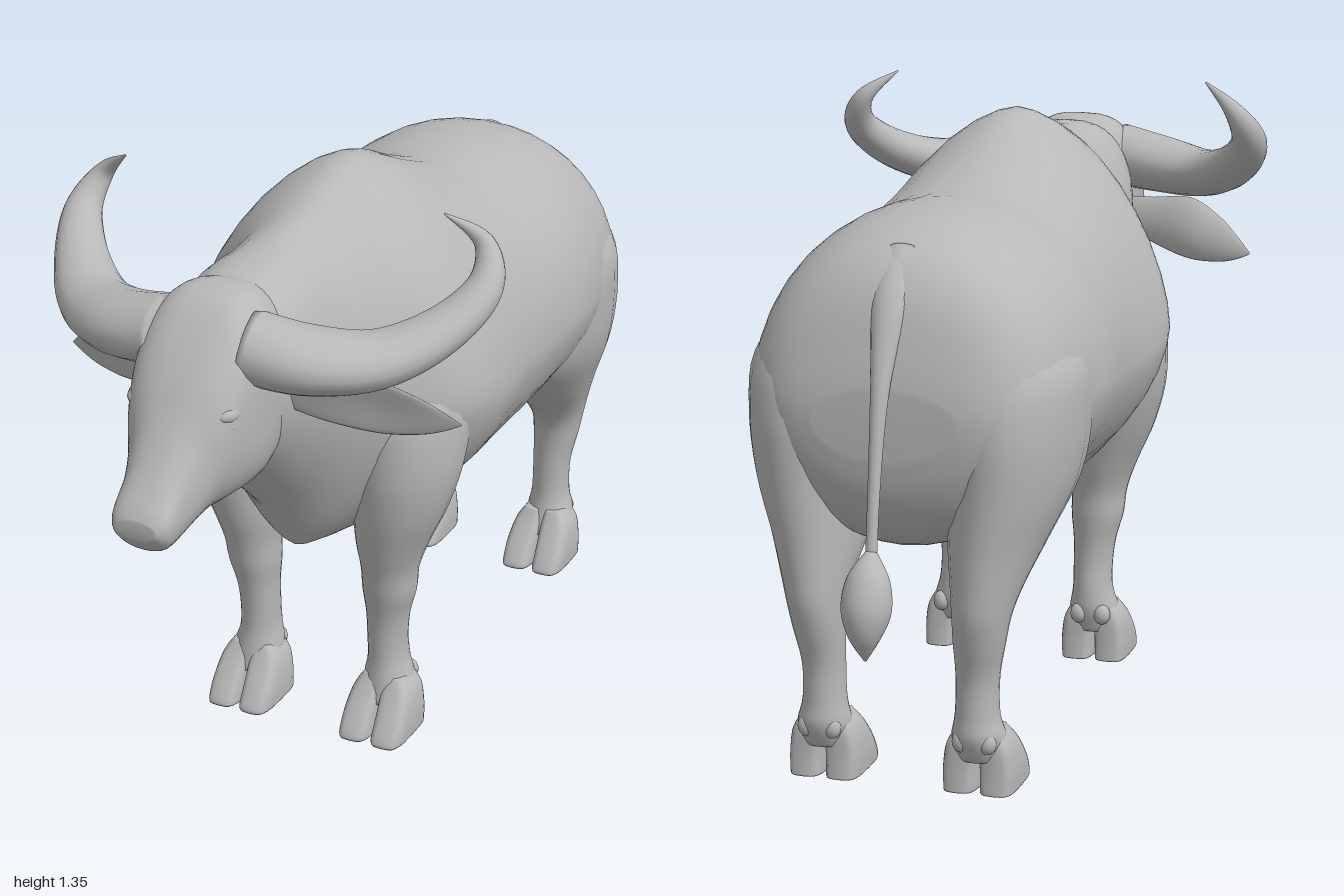
import * as THREE from 'three';

const hide = new THREE.MeshStandardMaterial({ color: 0xb8b8b8 });
hide.name = 'grey hide';

// Catmull-Rom smoothing of a short table of numeric rows
function smooth(rows, steps = 4) {
  const out = [];
  for (let i = 0; i < rows.length - 1; i++) {
    const a = rows[Math.max(i - 1, 0)], b = rows[i], c = rows[i + 1], d = rows[Math.min(i + 2, rows.length - 1)];
    for (let s = 0; s < steps; s++) {
      const t = s / steps;
      out.push(b.map((_, k) => b[k] + 0.5 * t * (c[k] - a[k]
        + t * (2 * a[k] - 5 * b[k] + 4 * c[k] - d[k] + t * (3 * (b[k] - c[k]) + d[k] - a[k])))));
    }
  }
  out.push(rows[rows.length - 1]);
  return out;
}

// Closed skin over rings of points, always facing outward
function loft(name, rings) {
  const n = rings[0].length, pos = [], idx = [];
  rings.forEach(r => r.forEach(p => pos.push(p.x, p.y, p.z)));
  for (let i = 0; i < rings.length - 1; i++) {
    for (let j = 0; j < n; j++) {
      const a = i * n + j, b = i * n + (j + 1) % n;
      idx.push(a, b, a + n, b, b + n, a + n);
    }
  }
  [0, rings.length - 1].forEach((r, end) => {
    const mid = new THREE.Vector3();
    rings[r].forEach(p => mid.addScaledVector(p, 1 / n));
    const c = pos.length / 3;
    pos.push(mid.x, mid.y, mid.z);
    for (let j = 0; j < n; j++) {
      const a = r * n + j, b = r * n + (j + 1) % n;
      if (end) idx.push(a, b, c); else idx.push(b, a, c);
    }
  });
  const at = i => new THREE.Vector3().fromArray(pos, i * 3);
  let volume = 0;
  for (let i = 0; i < idx.length; i += 3) volume += at(idx[i]).dot(at(idx[i + 1]).cross(at(idx[i + 2])));
  if (volume < 0) idx.reverse();
  const g = new THREE.BufferGeometry();
  g.setAttribute('position', new THREE.Float32BufferAttribute(pos, 3));
  g.setIndex(idx);
  g.computeVertexNormals();
  const mesh = new THREE.Mesh(g, hide);
  mesh.name = name;
  return mesh;
}

const power = (v, n) => Math.sign(v) * Math.pow(Math.abs(v), 2 / n);
function ring(count, place) {
  return Array.from({ length: count }, (_, j) => {
    const a = (j / count) * Math.PI * 2;
    return place(Math.cos(a), Math.sin(a));
  });
}

// Rows: z, bottom, top, height of widest point, half width, top and bottom roundness
const trunk = (name, rows) => loft(name, smooth(rows).map(([z, yb, yt, wy, hw, nt, nb]) =>
  ring(40, (c, s) => {
    const n = s > 0 ? nt : nb;
    return new THREE.Vector3(hw * power(c, n), wy + (s > 0 ? yt - wy : wy - yb) * power(s, n), z);
  })));

// Rows: y, centre x, centre z, half width, half depth
const column = (name, rows, side, n = 2) => loft(name, smooth(rows).map(([y, cx, cz, hx, hz]) =>
  ring(24, (c, s) => new THREE.Vector3(side * (cx + hx * power(c, n)), y, cz + hz * power(s, n)))));

// Tapered tube through rows of x, y, z, radius, radius across the horizontal
function taper(name, rows, side = 1) {
  const fine = smooth(rows, 6), pts = fine.map(([x, y, z]) => new THREE.Vector3(side * x, y, z));
  const u = new THREE.Vector3(0, 0, 1);
  return loft(name, pts.map((p, i) => {
    const t = pts[Math.min(i + 1, pts.length - 1)].clone().sub(pts[Math.max(i - 1, 0)]).normalize();
    u.addScaledVector(t, -u.dot(t)).normalize();
    const v = t.clone().cross(u), [, , , r, w] = fine[i];
    return ring(18, (c, s) => p.clone().addScaledVector(u, c * w).addScaledVector(v, s * r));
  }));
}

function bump(name, x, y, z, sx, sy, sz) {
  const mesh = new THREE.Mesh(new THREE.SphereGeometry(1, 16, 12), hide);
  mesh.name = name;
  mesh.position.set(x, y, z);
  mesh.scale.set(sx, sy, sz);
  return mesh;
}

export function createModel() {
  const model = new THREE.Group();
  model.name = 'buffalo';

  // Barrel with tucked belly, hump, keeled chest and neck
  model.add(trunk('body', [
    [-0.845, 0.72, 0.86, 0.8, 0.15, 2, 2], [-0.83, 0.64, 0.93, 0.8, 0.22, 2.1, 2],
    [-0.79, 0.56, 1.05, 0.8, 0.28, 2.1, 2], [-0.72, 0.51, 1.13, 0.81, 0.325, 2.1, 1.9],
    [-0.6, 0.49, 1.175, 0.82, 0.352, 2.1, 1.8], [-0.45, 0.475, 1.19, 0.82, 0.37, 2.05, 1.7],
    [-0.3, 0.44, 1.19, 0.81, 0.36, 2, 1.65], [-0.15, 0.43, 1.24, 0.8, 0.352, 1.85, 1.65],
    [0, 0.44, 1.305, 0.8, 0.362, 1.65, 1.65], [0.1, 0.455, 1.315, 0.82, 0.363, 1.6, 1.65],
    [0.2, 0.46, 1.29, 0.83, 0.33, 1.65, 1.55], [0.28, 0.465, 1.265, 0.84, 0.268, 1.75, 1.5],
    [0.34, 0.49, 1.25, 0.86, 0.22, 1.9, 1.5], [0.42, 0.6, 1.238, 0.92, 0.185, 2.1, 1.6],
    [0.52, 0.7, 1.23, 0.98, 0.168, 2.3, 1.8], [0.62, 0.805, 1.21, 1.0, 0.14, 2.4, 2],
    [0.68, 0.86, 1.17, 1.0, 0.1, 2.4, 2],
  ]));

  // Head from the poll to the muzzle
  model.add(trunk('head', [
    [0.52, 0.87, 1.19, 1.02, 0.09, 2.2, 2.2], [0.58, 0.815, 1.22, 1.03, 0.125, 2.6, 2.6],
    [0.64, 0.8, 1.23, 1.03, 0.136, 3, 3], [0.7, 0.8, 1.215, 1.02, 0.14, 3, 3],
    [0.76, 0.797, 1.165, 1.0, 0.135, 3, 2.6], [0.82, 0.79, 1.095, 0.97, 0.116, 2.7, 2.2],
    [0.87, 0.78, 1.02, 0.9, 0.09, 2.4, 2.2], [0.92, 0.766, 0.95, 0.86, 0.073, 2.4, 2.3],
    [0.96, 0.77, 0.9, 0.84, 0.07, 2.4, 2.4], [0.985, 0.79, 0.872, 0.832, 0.062, 2.4, 2.4],
    [1.0, 0.812, 0.85, 0.83, 0.045, 2.2, 2.2],
  ]));

  // Tail growing out of the rump, and its tuft
  model.add(taper('tail', [
    [0, 1.12, -0.69, 0.04, 0.03], [0, 1.04, -0.772, 0.042, 0.03], [0, 0.95, -0.825, 0.028, 0.022],
    [0, 0.84, -0.862, 0.018, 0.018], [0, 0.68, -0.895, 0.013, 0.013], [0, 0.52, -0.92, 0.012, 0.012],
  ]));
  model.add(taper('tailTuft', [
    [0, 0.55, -0.915, 0.012, 0.012], [0, 0.5, -0.935, 0.044, 0.042], [0, 0.44, -0.95, 0.052, 0.052],
    [0, 0.39, -0.96, 0.036, 0.036], [0, 0.335, -0.958, 0.003, 0.003],
  ]));

  for (const side of [1, -1]) {
    // Broad swept horn
    model.add(taper('horn', [
      [0.09, 1.125, 0.685, 0.075, 0.083], [0.21, 1.108, 0.658, 0.067, 0.094], [0.33, 1.104, 0.585, 0.056, 0.08],
      [0.425, 1.146, 0.482, 0.047, 0.06], [0.476, 1.215, 0.388, 0.037, 0.042], [0.45, 1.29, 0.337, 0.021, 0.022],
      [0.376, 1.35, 0.37, 0.002, 0.002],
    ], side));

    // Leaf-shaped ear: x, y, z, half height
    const ear = smooth([
      [0.11, 1.0, 0.615, 0.03], [0.2, 0.985, 0.585, 0.052], [0.3, 0.976, 0.545, 0.07],
      [0.38, 0.958, 0.51, 0.052], [0.43, 0.944, 0.485, 0.027], [0.466, 0.935, 0.468, 0.002],
    ]);
    model.add(loft('ear', ear.map(([x, y, z, h]) => ring(20, (c, s) => new THREE.Vector3(
      side * (x + 0.05 * h * s), y + h * c, z + 0.3 * h * c + 0.2 * h * s - 3 * h * h * (1 - c * c)
    )))));

    // Eyes, brows and nostrils
    model.add(bump('eye', side * 0.108, 1.0, 0.795, 0.016, 0.011, 0.022));
    model.add(bump('brow', side * 0.1, 1.025, 0.785, 0.027, 0.022, 0.045));
    model.add(bump('nostril', side * 0.038, 0.85, 0.967, 0.024, 0.022, 0.022));

    // Front leg running up into the shoulder
    model.add(column('frontLeg', [
      [0.98, 0.2, 0.1, 0.05, 0.08], [0.85, 0.205, 0.14, 0.125, 0.16], [0.7, 0.208, 0.18, 0.127, 0.145],
      [0.58, 0.2, 0.195, 0.107, 0.122], [0.48, 0.182, 0.2, 0.082, 0.095], [0.41, 0.175, 0.2, 0.065, 0.074],
      [0.35, 0.172, 0.196, 0.061, 0.066], [0.29, 0.167, 0.192, 0.05, 0.055], [0.23, 0.164, 0.189, 0.046, 0.051],
      [0.17, 0.165, 0.185, 0.047, 0.054], [0.12, 0.168, 0.188, 0.058, 0.058], [0.07, 0.17, 0.2, 0.058, 0.055],
    ], side));

    // Hind leg with a haunch spreading forward along the flank
    model.add(column('hindLeg', [
      [1.02, 0.19, -0.6, 0.06, 0.1], [0.9, 0.21, -0.59, 0.136, 0.21], [0.78, 0.216, -0.592, 0.142, 0.24],
      [0.65, 0.209, -0.61, 0.132, 0.222], [0.53, 0.193, -0.67, 0.1, 0.16], [0.45, 0.185, -0.722, 0.076, 0.108],
      [0.39, 0.18, -0.748, 0.062, 0.08], [0.33, 0.175, -0.75, 0.055, 0.064], [0.25, 0.169, -0.742, 0.046, 0.051],
      [0.17, 0.168, -0.742, 0.047, 0.051], [0.12, 0.17, -0.738, 0.058, 0.058], [0.07, 0.17, -0.72, 0.058, 0.055],
    ], side));

    // Cloven hooves with dewclaws behind
    for (const z of [0.23, -0.685]) {
      for (const toe of [-1, 1]) {
        const x = 0.17 + toe * 0.04;
        model.add(column('hoof', [
          [0, x, z, 0.038, 0.09], [0.012, x, z, 0.039, 0.089], [0.05, x, z - 0.011, 0.039, 0.075],
          [0.1, x - toe * 0.005, z - 0.029, 0.035, 0.055], [0.135, x - toe * 0.014, z - 0.036, 0.022, 0.038],
        ], side, 3.6));
        model.add(bump('dewclaw', side * (0.17 + toe * 0.028), 0.115, z - 0.088, 0.02, 0.024, 0.018));
      }
    }
  }
  return model;
}
